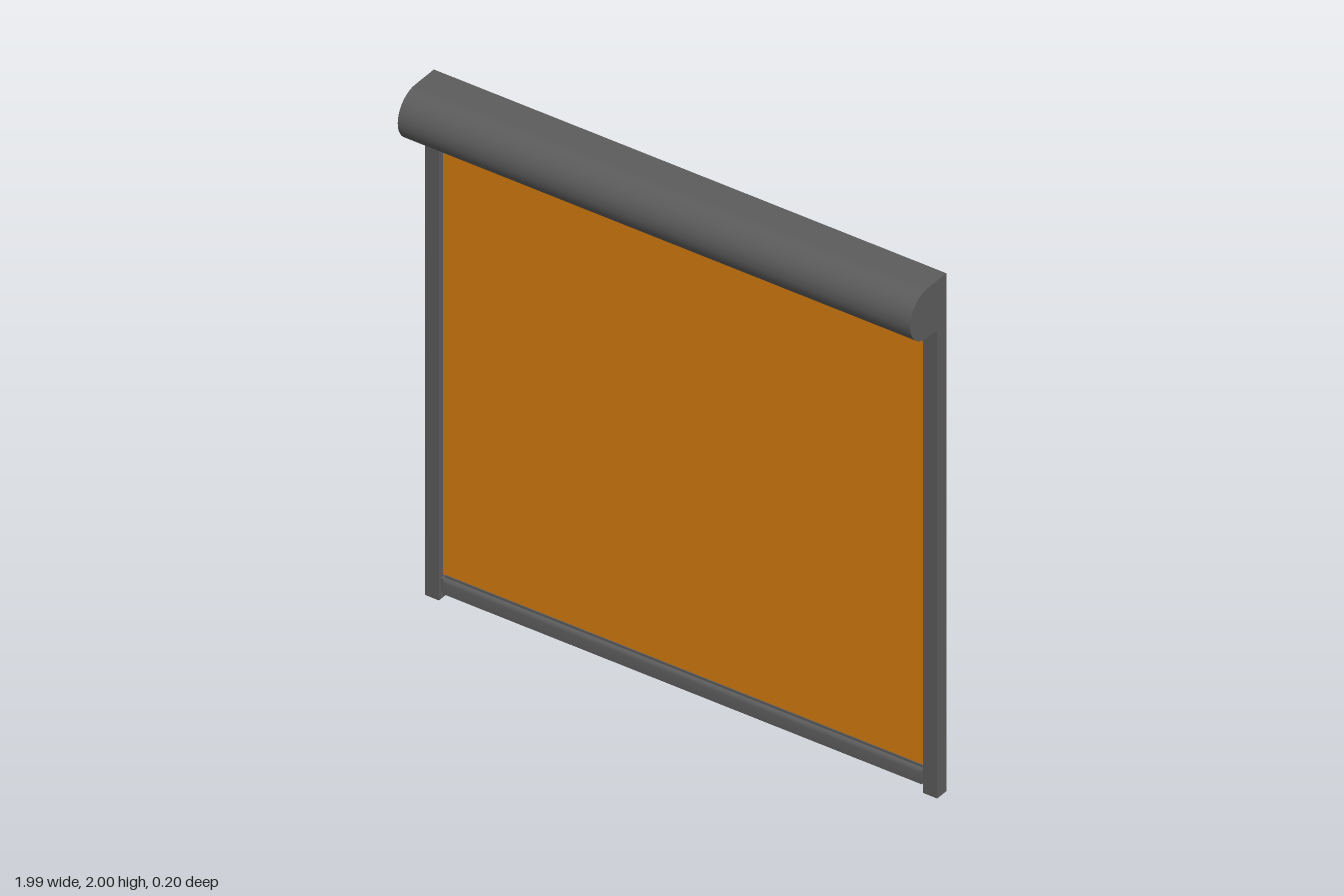
import * as THREE from 'three';
import { toCreasedNormals } from 'three/addons/utils/BufferGeometryUtils.js';

const frameGrey = new THREE.MeshStandardMaterial({ color: 0x5c5c5c });
frameGrey.name = 'frame grey';
const fabricOrange = new THREE.MeshStandardMaterial({ color: 0xd67c10 });
fabricOrange.name = 'fabric orange';

// Extrudes a (z, y) side profile along x, centred on x = 0.
function sideExtrude(shape, width) {
  const geometry = new THREE.ExtrudeGeometry(shape, { depth: width, bevelEnabled: false, curveSegments: 32 });
  geometry.translate(0, 0, -width / 2);
  geometry.rotateY(-Math.PI / 2); // shape x -> world z
  return toCreasedNormals(geometry, 0.6);
}

export function createModel() {
  const model = new THREE.Group();
  model.name = 'rollerScreen';

  const add = (name, geometry, material, x = 0, y = 0, z = 0) => {
    const mesh = new THREE.Mesh(geometry, material);
    mesh.name = name;
    mesh.position.set(x, y, z);
    model.add(mesh);
    return mesh;
  };
  const box = (name, material, w, h, d, x, y, z) =>
    add(name, new THREE.BoxGeometry(w, h, d), material, x, y, z);

  // Cassette: flat back, half-round front
  const cassette = new THREE.Shape();
  cassette.moveTo(-0.1, 1.81);
  cassette.lineTo(0.005, 1.81);
  cassette.absarc(0.005, 1.905, 0.095, -Math.PI / 2, Math.PI / 2, false);
  cassette.lineTo(-0.1, 2);
  cassette.closePath();
  add('cassette', sideExtrude(cassette, 1.99), frameGrey);

  // Fabric sheet
  box('fabric', fabricOrange, 1.89, 1.73, 0.004, 0, 1.945 / 2 - 0.02, -0.075);

  // Bottom bar with rounded shoulders and a narrow fabric-gripping lip
  const bar = new THREE.Shape();
  bar.moveTo(-0.093, 0.025);
  bar.lineTo(-0.057, 0.025);
  bar.lineTo(-0.057, 0.065);
  bar.quadraticCurveTo(-0.058, 0.08, -0.069, 0.082);
  bar.lineTo(-0.069, 0.09);
  bar.lineTo(-0.081, 0.09);
  bar.lineTo(-0.081, 0.082);
  bar.quadraticCurveTo(-0.092, 0.08, -0.093, 0.065);
  bar.closePath();
  add('bottomBar', sideExtrude(bar, 1.86), frameGrey);

  for (const side of [-1, 1]) {
    const label = side > 0 ? 'left' : 'right';
    // Side guide rails and the bar's end caps running in them
    box(label + 'GuideRail', frameGrey, 0.055, 1.81, 0.05, side * 0.9675, 0.905, -0.075);
    box(label + 'BarEndCap', frameGrey, 0.012, 0.05, 0.03, side * 0.935, 0.055, -0.075);
  }
  return model;
}
